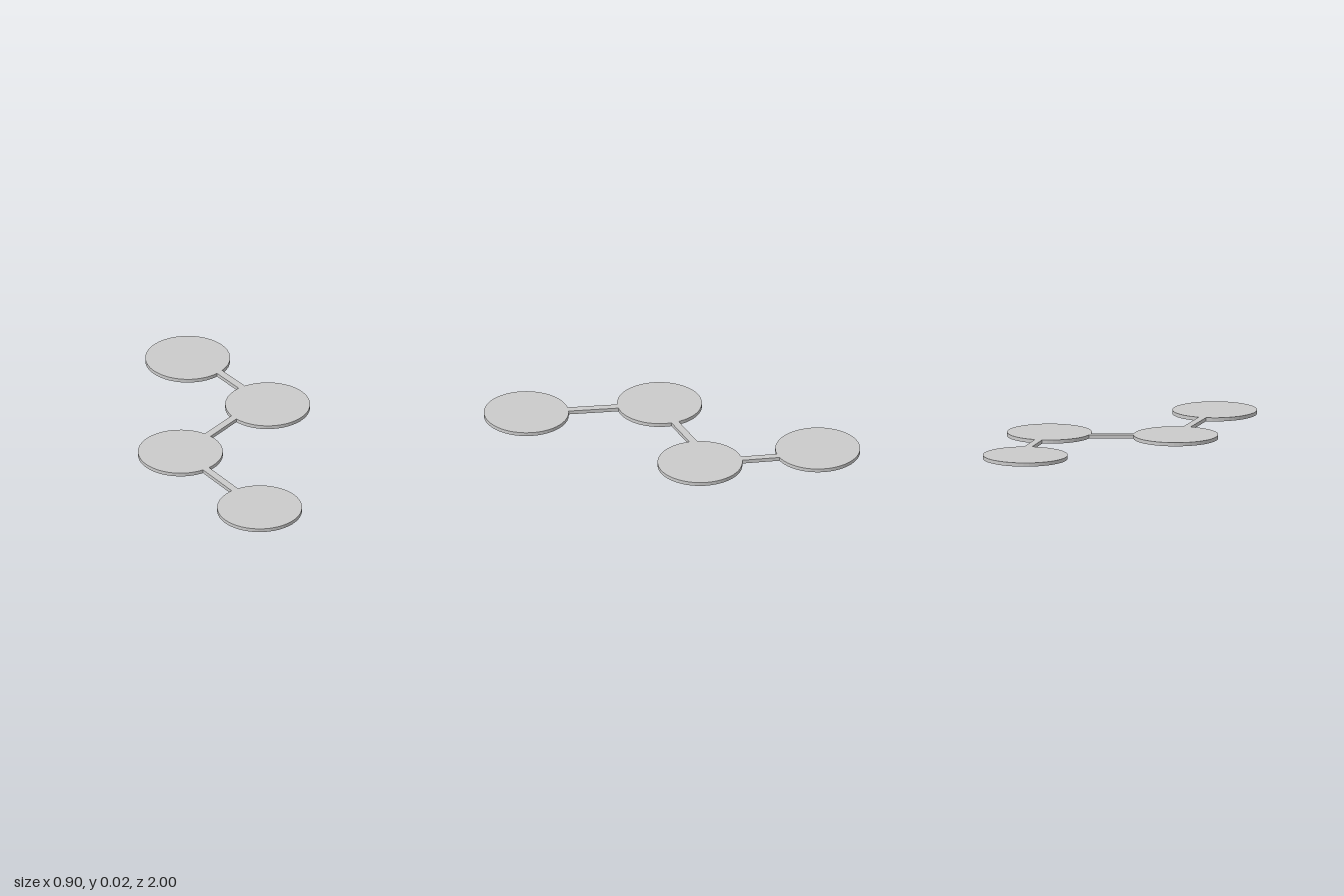
import * as THREE from 'three';

const THICKNESS = 0.02;
const DISC_RADIUS = 0.227;
const BAR_WIDTH = 0.041;

export function createModel() {
  const group = new THREE.Group();
  group.name = 'linkedDiscs';
  const material = new THREE.MeshStandardMaterial({ color: 0xcccccc, flatShading: true });

  // Four flat discs in a zigzag, back to front
  const discGeometry = new THREE.CylinderGeometry(DISC_RADIUS, DISC_RADIUS, THICKNESS, 48);
  const centres = [[-0.224, -0.773], [0.222, -0.305], [-0.224, 0.207], [0.222, 0.773 - 0.002]];
  centres.forEach(([x, z], i) => {
    const disc = new THREE.Mesh(discGeometry, material);
    disc.name = `disc${i + 1}`;
    disc.position.set(x, THICKNESS / 2, z);
    group.add(disc);
  });

  // Narrow bars joining neighbouring disc rims; ends reach slightly into the discs
  const overlap = 0.02;
  const bars = [
    [-0.05, -0.634, 0.077, -0.478],
    [0.05, -0.164, -0.087, 0.032],
    [-0.082, 0.378, 0.079, 0.589],
  ];
  bars.forEach(([x1, z1, x2, z2], i) => {
    const length = Math.hypot(x2 - x1, z2 - z1) + 2 * overlap;
    const bar = new THREE.Mesh(new THREE.BoxGeometry(BAR_WIDTH, THICKNESS, length), material);
    bar.name = `connectingBar${i + 1}`;
    bar.position.set((x1 + x2) / 2, THICKNESS / 2, (z1 + z2) / 2);
    bar.rotation.y = Math.atan2(x2 - x1, z2 - z1);
    group.add(bar);
  });

  return group;
}
